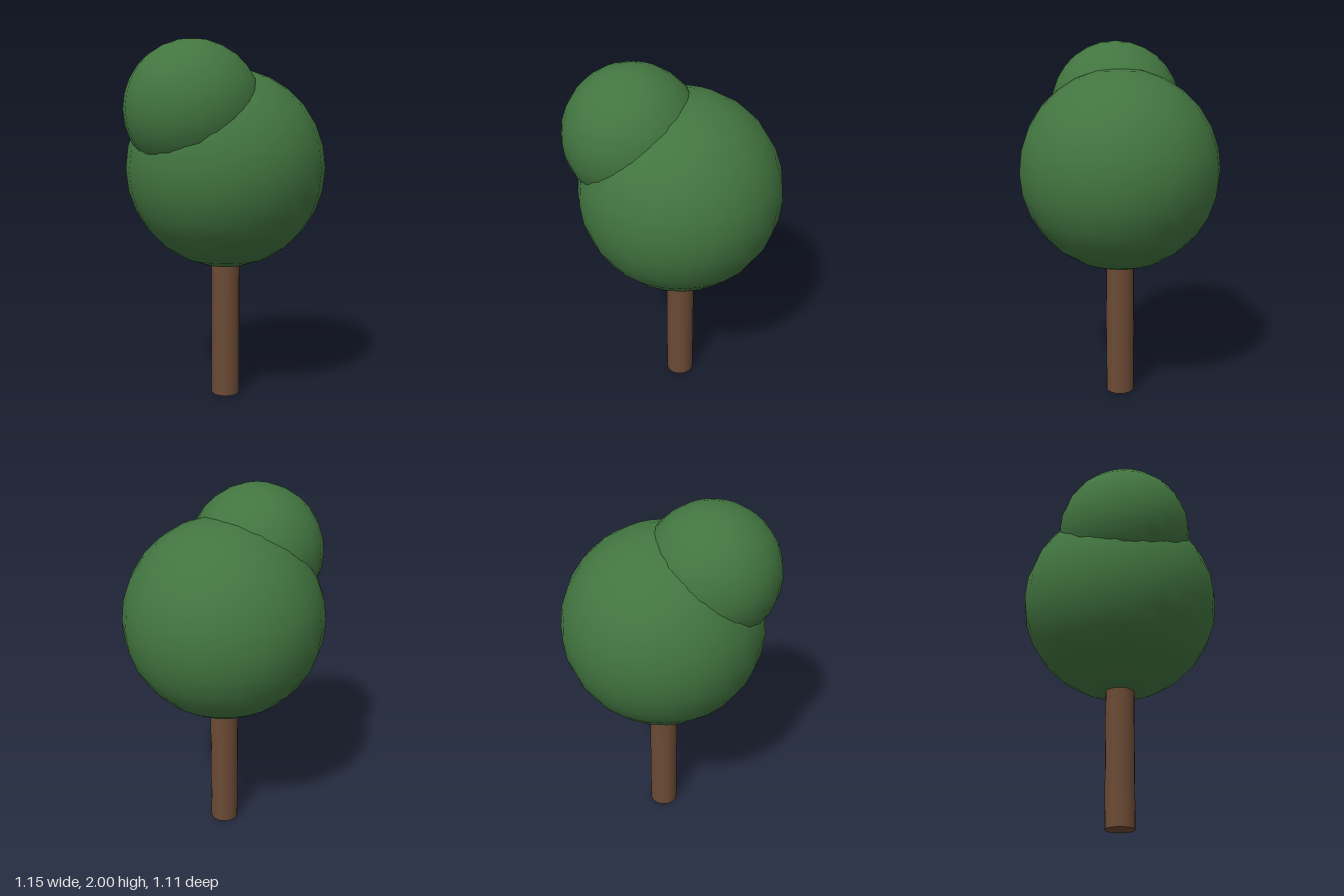
import * as THREE from 'three';

export function createModel() {
  const tree = new THREE.Group();
  tree.name = 'tree';

  const bark = new THREE.MeshStandardMaterial({ color: 0x6b4a35 });
  const leaves = new THREE.MeshStandardMaterial({ color: 0x427540 });

  const add = (name, geometry, material, x, y, z) => {
    const mesh = new THREE.Mesh(geometry, material);
    mesh.name = name;
    mesh.position.set(x, y, z);
    tree.add(mesh);
  };

  // Straight round trunk, its top buried in the crown
  const trunkHeight = 0.9;
  add('trunk', new THREE.CylinderGeometry(0.08, 0.08, trunkHeight, 20), bark, 0.02, trunkHeight / 2, 0);

  // Large crown with a smaller clump set into its upper right
  add('crown', new THREE.SphereGeometry(0.555, 24, 14), leaves, 0.02, 1.305, 0);
  add('upperClump', new THREE.SphereGeometry(0.37, 24, 14), leaves, -0.21, 1.63, 0.1);

  return tree;
}
